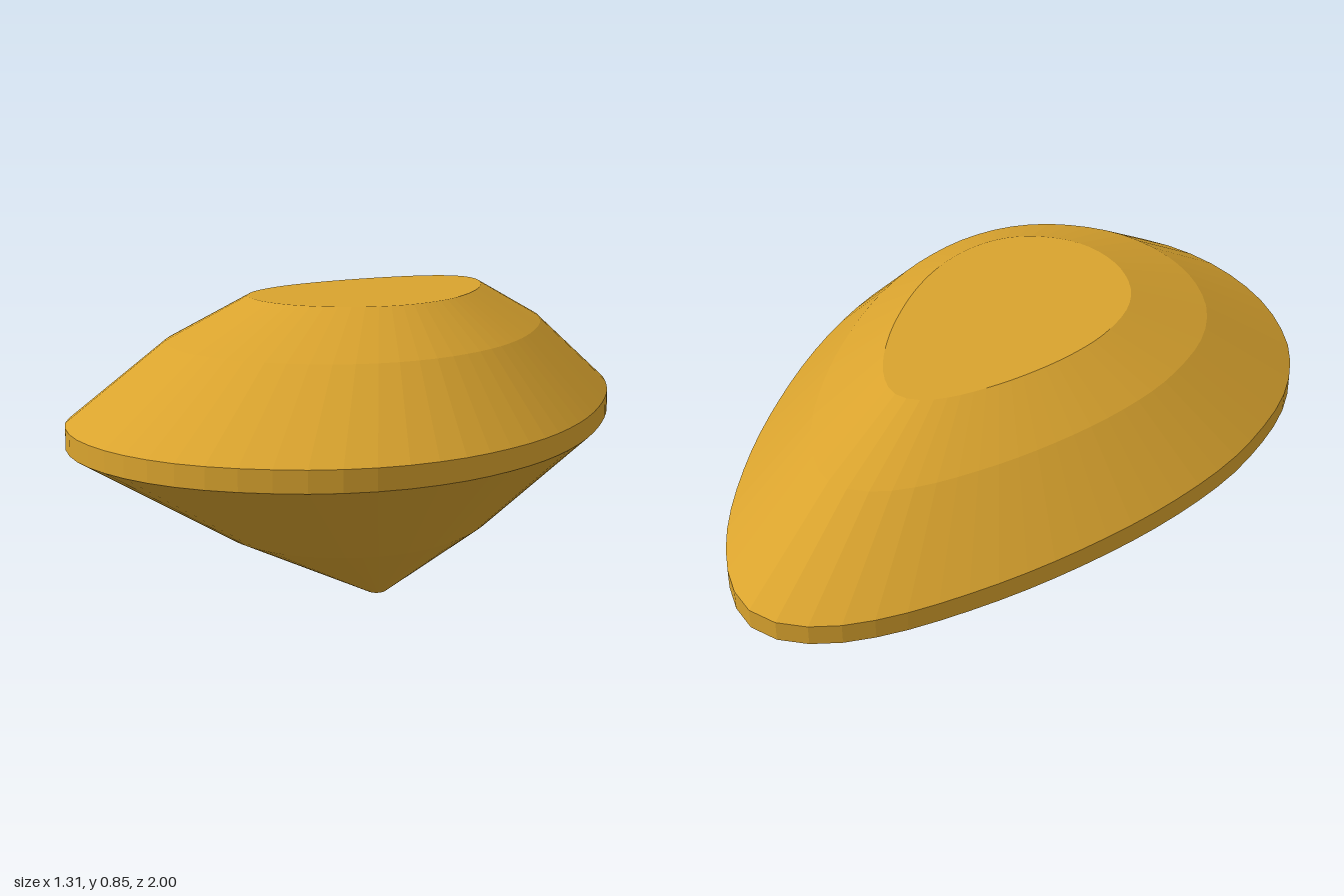
import * as THREE from 'three';

// Girdle outline of the lopsided pear cut, as x, z pairs from the tip round the model's left
const OUTLINE = [
  [0.22, -1], [0.31, -0.98], [0.40, -0.9], [0.50, -0.73], [0.59, -0.45], [0.638, -0.17],
  [0.654, 0.1], [0.635, 0.34], [0.59, 0.52], [0.51, 0.7], [0.39, 0.85], [0.245, 0.945],
  [0.085, 0.99], [-0.03, 0.998], [-0.155, 0.98], [-0.31, 0.915], [-0.47, 0.79], [-0.59, 0.62],
  [-0.64, 0.475], [-0.655, 0.34], [-0.64, 0.175], [-0.6, 0], [-0.5, -0.24], [-0.36, -0.48],
  [-0.205, -0.69], [-0.02, -0.885], [0.11, -0.972],
];
const SEGMENTS = 64;
const CENTRE = { x: 0.05, z: -0.003 };

export function createModel() {
  const group = new THREE.Group();
  group.name = 'pearCutGem';
  const amber = new THREE.MeshStandardMaterial({ color: 0xd9a32e, flatShading: true });
  amber.name = 'amber gold';

  const curve = new THREE.CatmullRomCurve3(
    OUTLINE.map(([x, z]) => new THREE.Vector3(x, 0, z)), true);
  const outline = curve.getSpacedPoints(SEGMENTS).slice(0, SEGMENTS);

  // The outline shrunk towards the gem's axis at a given height
  const ring = (scale, y) => outline.map((p) => [
    CENTRE.x + (p.x - CENTRE.x) * scale, y, CENTRE.z + (p.z - CENTRE.z) * scale]);

  const add = (name, positions) => {
    const geometry = new THREE.BufferGeometry();
    geometry.setAttribute('position', new THREE.Float32BufferAttribute(positions.flat(), 3));
    geometry.computeVertexNormals();
    const mesh = new THREE.Mesh(geometry, amber);
    mesh.name = name;
    group.add(mesh);
  };

  // Wall of facets between a lower and an upper ring
  const band = (name, lower, upper) => {
    const tris = [];
    for (let i = 0; i < SEGMENTS; i++) {
      const j = (i + 1) % SEGMENTS;
      tris.push(lower[i], upper[i], lower[j], lower[j], upper[i], upper[j]);
    }
    add(name, tris);
  };

  // Flat lid over a ring, facing up or down
  const cap = (name, points, up) => {
    const centre = [CENTRE.x, points[0][1], CENTRE.z];
    const tris = [];
    for (let i = 0; i < SEGMENTS; i++) {
      const next = points[(i + 1) % SEGMENTS];
      tris.push(centre, ...(up ? [next, points[i]] : [points[i], next]));
    }
    add(name, tris);
  };

  const culet = ring(0.037, 0);
  const pavilion = ring(0.515, 0.215);
  const girdleBottom = ring(1, 0.482);
  const girdleTop = ring(1, 0.538);
  const crown = ring(0.692, 0.738);
  const table = ring(0.43, 0.848);

  cap('culet', culet, false);
  band('lowerPavilion', culet, pavilion);
  band('upperPavilion', pavilion, girdleBottom);
  band('girdle', girdleBottom, girdleTop);
  band('lowerCrown', girdleTop, crown);
  band('upperCrown', crown, table);
  cap('table', table, true);
  return group;
}
